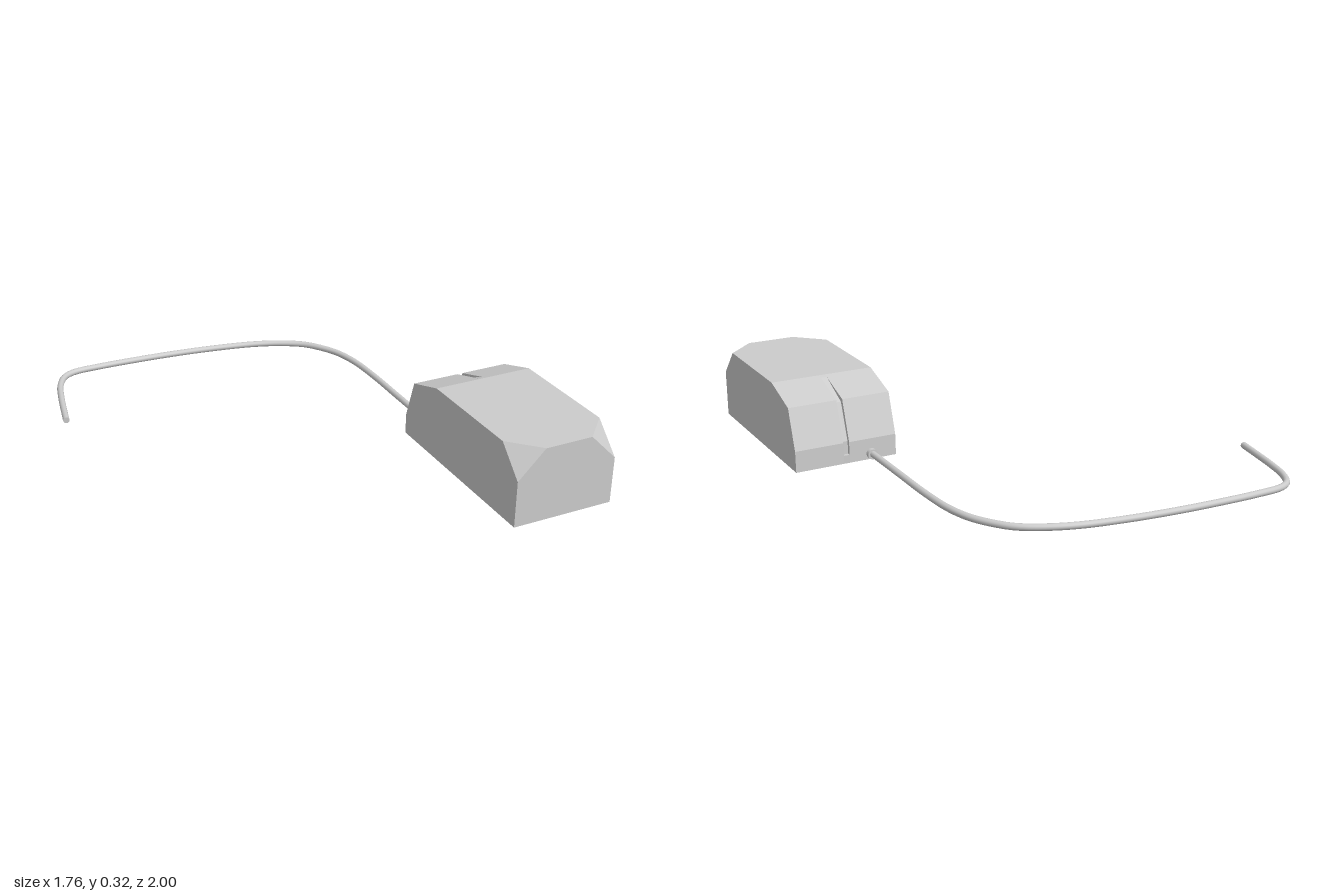
import * as THREE from 'three';
import { ConvexGeometry } from 'three/addons/geometries/ConvexGeometry.js';

const X0 = 0.434, X1 = 0.879;          // body sides
const G0 = 0.643, G1 = 0.669;          // groove between the buttons
const CUT = 0.118, TOP = 0.318;        // corner bevel size, body height
const gray = (extra = {}) => new THREE.MeshStandardMaterial({ color: 0xcccccc, ...extra });

// Side profile of the cable end, as [z, y]
const nose = [[0.152, 0], [0.154, 0.09], [0.21, 0.26], [0.39, TOP]];

// One half of the body, from the groove wall to the bevelled outer side
function bodyHalf(inner, outer) {
  const pts = [];
  const add = (x, y, z) => pts.push(new THREE.Vector3(x, y, z));
  for (const x of [inner, outer]) {
    for (const [z, y] of nose) add(x, y, z);
    add(x, 0, 1);
  }
  add(inner, TOP, 1);
  // three points of the cut corner
  add(outer, TOP - CUT, 1);
  add(outer, TOP, 1 - CUT);
  add(outer + Math.sign(inner - outer) * CUT, TOP, 1);
  return new ConvexGeometry(pts);
}

export function createModel() {
  const model = new THREE.Group();
  const part = (name, geometry, material = gray()) => {
    const mesh = new THREE.Mesh(geometry, material);
    mesh.name = name;
    model.add(mesh);
    return mesh;
  };

  // Body halves
  part('bodyRight', bodyHalf(G0, X0), gray({ flatShading: true }));
  part('bodyLeft', bodyHalf(G1, X1), gray({ flatShading: true }));

  // Centre strip with the sunken groove between the buttons
  const profile = [[1, 0], [1, TOP], [0.39, TOP], [0.37, 0.312], [0.225, 0.245],
    [0.17, 0.09], [0.168, 0.035], [0.152, 0.035], [0.152, 0]];
  const shape = new THREE.Shape(profile.map(([z, y]) => new THREE.Vector2(-z, y)));
  const strip = new THREE.ExtrudeGeometry(shape, { depth: G1 - G0, bevelEnabled: false });
  strip.rotateY(Math.PI / 2);
  strip.translate(G0, 0, 0);
  part('centreStrip', strip, gray({ flatShading: true }));

  // Cable lying on the ground, as [x, z]
  const path = [[0.546, 0.16], [0.546, -0.1], [0.546, -0.36], [0.535, -0.53], [0.505, -0.65],
    [0.455, -0.74], [0.4, -0.805], [0.31, -0.86], [0.19, -0.906], [0, -0.945], [-0.2, -0.97],
    [-0.4, -0.983], [-0.57, -0.987], [-0.69, -0.98], [-0.745, -0.95], [-0.79, -0.87],
    [-0.82, -0.76], [-0.866, -0.53]];
  const curve = new THREE.CatmullRomCurve3(path.map(([x, z]) => new THREE.Vector3(x, 0.026, z)));
  part('cable', new THREE.TubeGeometry(curve, 90, 0.014, 12));

  // Closed free end of the cable
  const cap = part('cableEnd', new THREE.CircleGeometry(0.014, 12));
  cap.position.copy(curve.getPoint(1));
  cap.lookAt(cap.position.clone().add(curve.getTangent(1)));

  // Collar where the cable enters the body
  const collar = part('cableCollar', new THREE.CylinderGeometry(0.022, 0.022, 0.03, 16));
  collar.rotation.x = Math.PI / 2;
  collar.position.set(0.546, 0.025, 0.148);

  return model;
}
